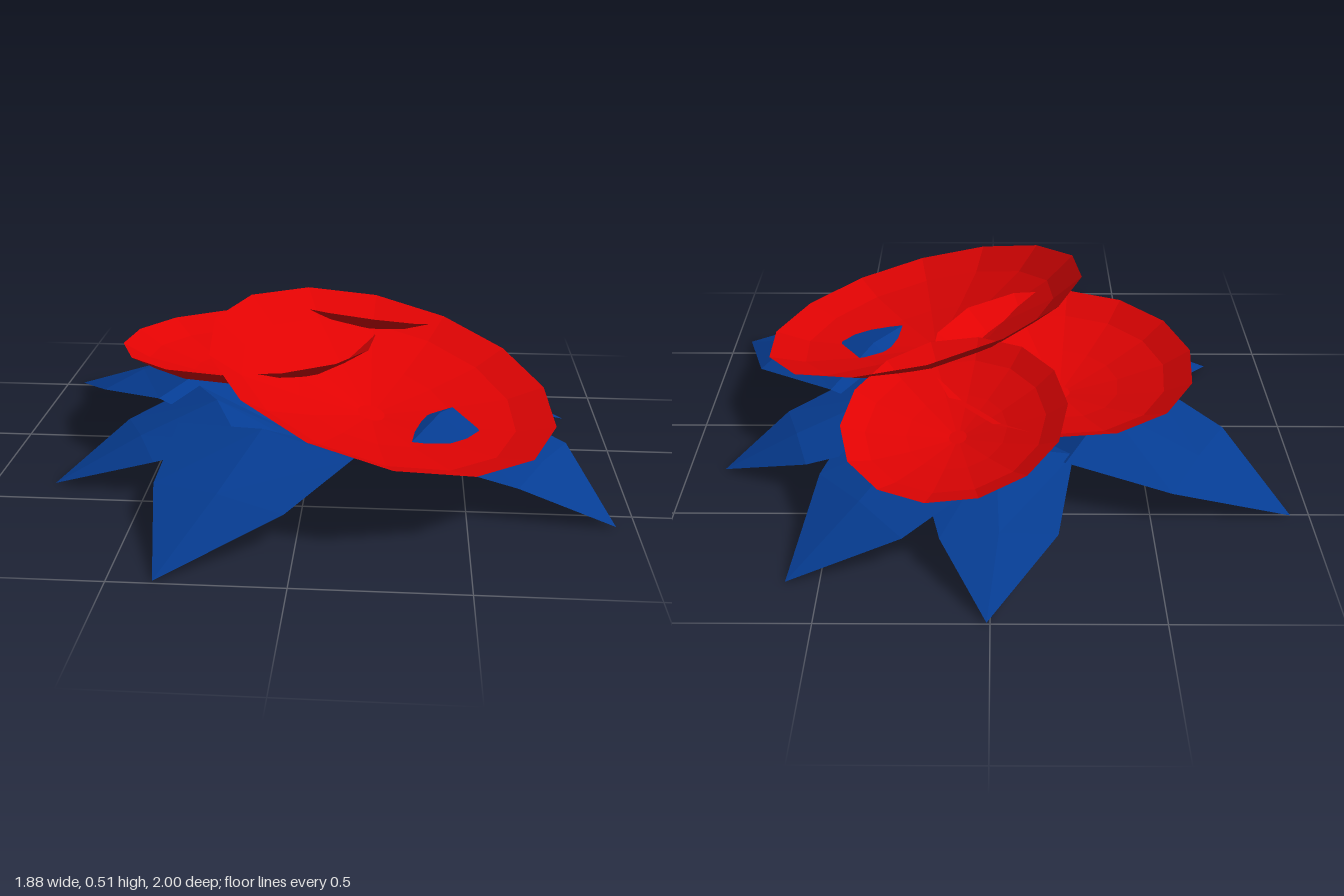
import * as THREE from 'three';

const red = new THREE.MeshStandardMaterial({ color: 0xe00303, flatShading: true, side: THREE.DoubleSide });
const blue = new THREE.MeshStandardMaterial({ color: 0x063d94, flatShading: true, side: THREE.DoubleSide });

// Shallow open cup: rim centre, rim radius, depth, slope of the rim along x and z, turn of the facets
function makeBlossom(name, [x, y, z], radius, depth, slopeX, slopeZ, turn) {
  const profile = [[0, 0], [0.08, 0], [0.45, 0.27], [0.8, 0.62], [1, 1]]
    .map(([r, h]) => new THREE.Vector2(r * radius, (h - 1) * depth));
  const mesh = new THREE.Mesh(new THREE.LatheGeometry(profile, 14, turn), red);
  mesh.name = name;
  const normal = new THREE.Vector3(-slopeX, 1, -slopeZ).normalize();
  mesh.quaternion.setFromUnitVectors(new THREE.Vector3(0, 1, 0), normal);
  mesh.position.set(x, y, z);
  return mesh;
}

// Arched leaf: base on the ground at the centre, broad raised middle, two shoulders, pointed tip
function makeLeaf(tipX, tipZ, ax, az, bx, bz) {
  const cx = (ax + bx) / 2, cz = (az + bz) / 2;
  const hx = (bx - ax) / 2, hz = (bz - az) / 2;
  // [distance towards shoulders, width, edge height, ridge height]
  const sections = [[0, 0.8, 0, 0], [0.57, 1.4, 0.17, 0.21], [1, 1, 0.11, 0.125]];
  const points = [], faces = [];
  for (const [along, width, edgeY, ridgeY] of sections) {
    for (const side of [-1, 0, 1]) {
      points.push(cx * along + hx * width * side, side ? edgeY : ridgeY, cz * along + hz * width * side);
    }
  }
  points.push(tipX, 0.005, tipZ);
  for (let row = 0; row < 2; row++) {
    for (let col = 0; col < 2; col++) {
      const i = row * 3 + col;
      faces.push(i, i + 1, i + 3, i + 1, i + 4, i + 3);
    }
  }
  faces.push(6, 7, 9, 7, 8, 9);
  const geometry = new THREE.BufferGeometry();
  geometry.setAttribute('position', new THREE.Float32BufferAttribute(points, 3));
  geometry.setIndex(faces);
  geometry.computeVertexNormals();
  return new THREE.Mesh(geometry, blue);
}

export function createModel() {
  const model = new THREE.Group();
  model.name = 'flower';

  // Three overlapping cups, each leaning its own way
  model.add(
    makeBlossom('largeBlossom', [0.238, 0.352, 0.237], 0.568, 0.156, -0.25, -0.14, 0.09),
    makeBlossom('leftBlossom', [-0.23, 0.338, -0.1], 0.435, 0.14, 0.02, 0.056, -0.09),
    makeBlossom('smallBlossom', [0.115, 0.347, -0.46], 0.35, 0.1, -0.13, 0.22, Math.PI / 14)
  );

  // Ring of leaves: tip, then the right-hand and left-hand shoulders seen along the leaf (x, z)
  const leaves = new THREE.Group();
  leaves.name = 'leaves';
  const outlines = [
    [0.01, -1, 0.15, -0.76, -0.2, -0.74],
    [0.6, -0.83, 0.54, -0.44, 0.26, -0.76],
    [0.88, -0.27, 0.69, -0.08, 0.59, -0.39],
    [0.94, 0.58, 0.65, 0.56, 0.83, 0.2],
    [-0.37, 0.995, -0.44, 0.6, -0.03, 0.78],
    [-0.8, 0.4, -0.62, 0.1, -0.47, 0.45],
    [-0.94, -0.51, -0.56, -0.54, -0.77, -0.17],
  ];
  outlines.forEach((outline, i) => {
    const leaf = makeLeaf(...outline);
    leaf.name = `leaf${i + 1}`;
    leaves.add(leaf);
  });
  model.add(leaves);
  return model;
}
